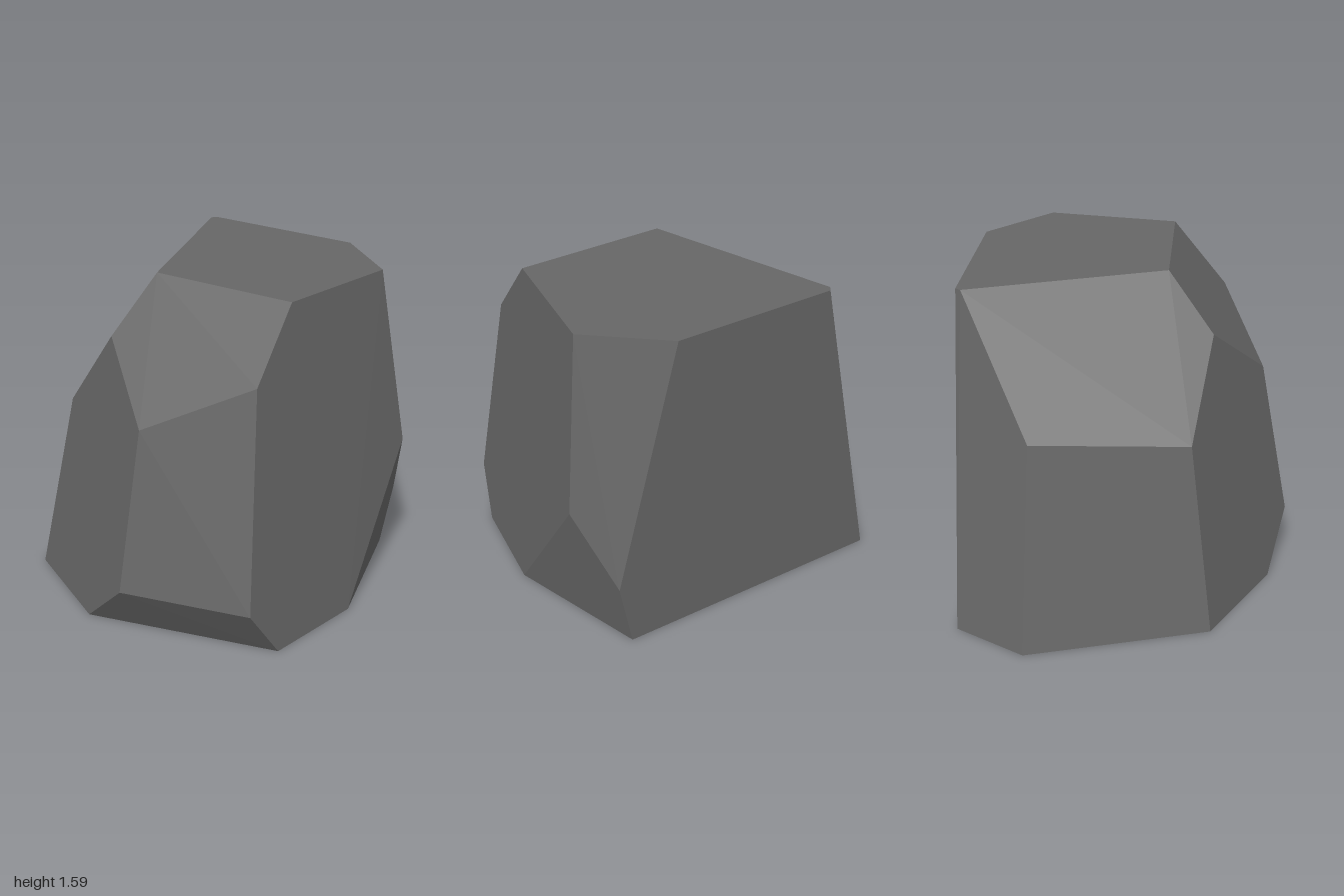
import * as THREE from 'three';
import { ConvexGeometry } from 'three/addons/geometries/ConvexGeometry.js';

export function createModel() {
  const group = new THREE.Group();
  group.name = 'boulder';

  const stone = new THREE.MeshStandardMaterial({ color: 0x666666 });
  stone.name = 'grey stone';

  // Flat horizontal outlines, as [x, z] corners
  const top = 1.59;
  const crown = [[-0.31, 0.14], [0.26, 0.61], [0.74, 0.18], [0.66, -0.265], [0.04, -0.788], [0.01, -0.78]];
  const base = [[-0.91, -0.03], [-0.68, 0.52], [0.19, 0.91], [0.57, 0.57], [0.85, -0.102], [-0.21, -1], [-0.57, -0.86]];

  // Corners of the chipped facets between base and crown
  const chips = [
    [-0.53, 1.32, 0.24], [-0.73, 0.9, -0.03], [-0.43, 0.98, -0.72], // left shoulder
    [-0.42, 1.02, 0.65], [0.09, 1.27, 0.81], // front shoulder
    [-0.53, 0.25, 0.75], [0.05, 0.24, 1], // front foot
    [0.88, 0.72, 0.18], [0.9, 0.34, -0.06], // side chip
  ];

  const points = [
    ...crown.map(([x, z]) => new THREE.Vector3(x, top, z)),
    ...base.map(([x, z]) => new THREE.Vector3(x, 0, z)),
    ...chips.map((p) => new THREE.Vector3(...p)),
  ];

  // One faceted convex stone
  const rock = new THREE.Mesh(new ConvexGeometry(points), stone);
  rock.name = 'rock';
  group.add(rock);
  return group;
}
